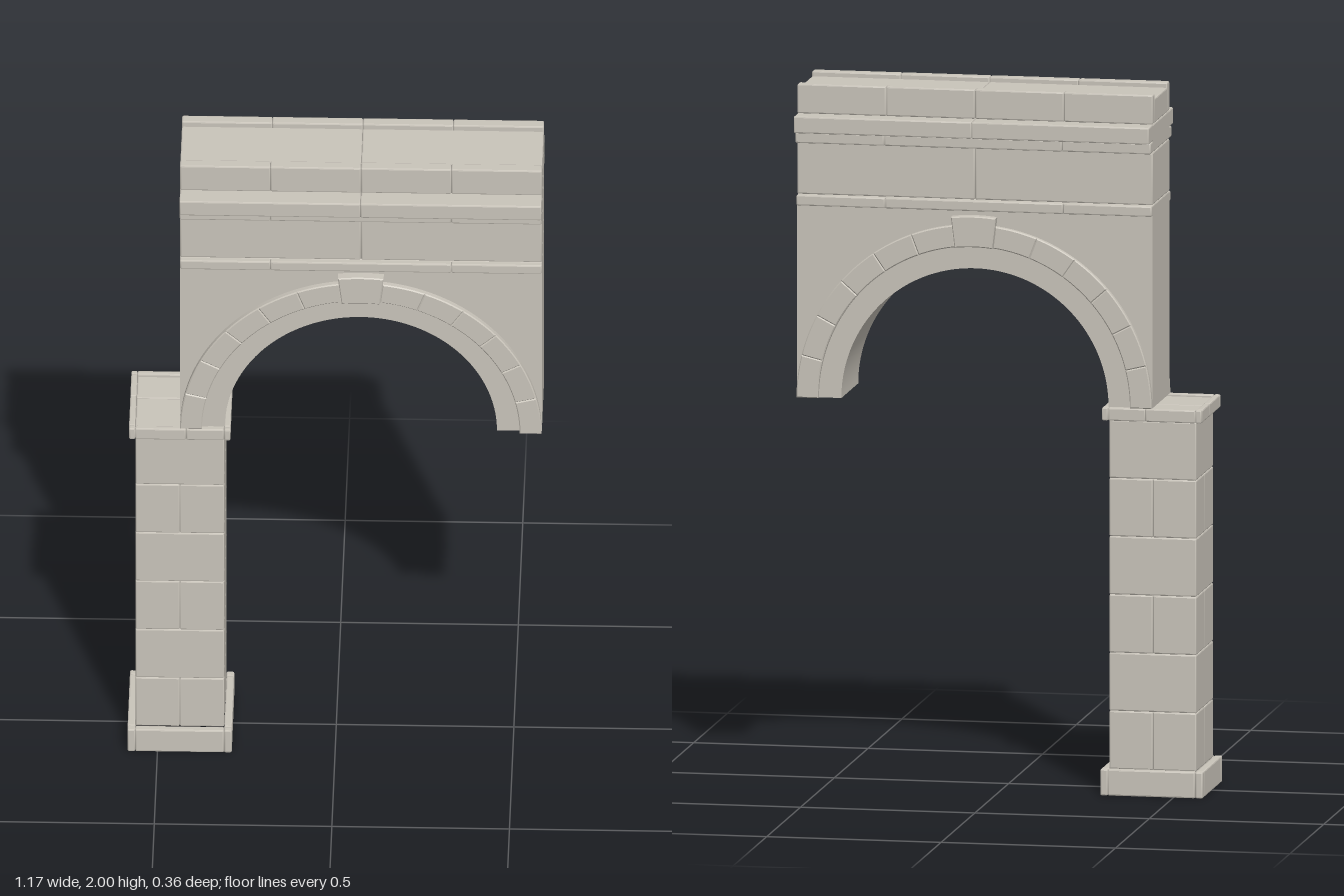
import * as THREE from 'three';
import { RoundedBoxGeometry } from 'three/addons/geometries/RoundedBoxGeometry.js';
import { toCreasedNormals } from 'three/addons/utils/BufferGeometryUtils.js';

const stone = new THREE.MeshStandardMaterial({ color: 0xc9c4ba });
stone.name = 'stone';

const CHAMFER = 0.004;
const PIER_X = -0.4375, HALF = 0.125;          // pier centre and half width
const ARCH_X = 0.0725, ARCH_Y = 1.107;         // arch centre
const WALL_L = -0.437, WALL_R = 0.582;         // wall ends

function addMesh(parent, name, geometry) {
  const mesh = new THREE.Mesh(geometry, stone);
  mesh.name = name;
  parent.add(mesh);
  return mesh;
}

// Chamfered stone block given by its limits
function block(parent, name, x0, x1, y0, y1, z0, z1) {
  const geo = toCreasedNormals(new RoundedBoxGeometry(x1 - x0, y1 - y0, z1 - z0, 1, CHAMFER), 0.3);
  addMesh(parent, name, geo).position.set((x0 + x1) / 2, (y0 + y1) / 2, (z0 + z1) / 2);
}

// Row of blocks along x, split at the given fractions of the wall length
function wallRow(parent, name, cuts, y0, y1, z0, z1) {
  const at = [0, ...cuts, 1].map(f => WALL_L + f * (WALL_R - WALL_L));
  for (let i = 0; i < at.length - 1; i++) block(parent, name, at[i], at[i + 1], y0, y1, z0, z1);
}

// Square band around the pier: side strips, optionally split, and corner posts
function band(parent, name, out, y0, y1, split) {
  const cuts = split === null ? [-HALF, HALF] : [-HALF, split, HALF];
  for (const s of [-1, 1]) {
    const lo = s > 0 ? HALF : -out, hi = s > 0 ? out : -HALF;
    for (let i = 0; i < cuts.length - 1; i++) {
      const a = cuts[i], b = cuts[i + 1];
      block(parent, name, PIER_X + a, PIER_X + b, y0, y1, lo, hi);
      block(parent, name, PIER_X + lo, PIER_X + hi, y0, y1, -b, -a);
    }
    for (const t of [-1, 1]) {
      const za = t > 0 ? HALF : -out, zb = t > 0 ? out : -HALF;
      block(parent, name + 'Corner', PIER_X + lo, PIER_X + hi, y0, y1, za, zb);
    }
  }
}

function createPier() {
  const pier = new THREE.Group();
  pier.name = 'pier';
  band(pier, 'pierBase', 0.147, 0, 0.075, null);

  // Six courses, alternating four blocks and one full block
  const y0 = 0.073, h = (1.07 - y0) / 6;
  for (let i = 0; i < 6; i++) {
    const cuts = i % 2 ? [-HALF, HALF] : [-HALF, 0, HALF];
    for (let a = 0; a < cuts.length - 1; a++)
      for (let b = 0; b < cuts.length - 1; b++)
        block(pier, 'pierBlock', PIER_X + cuts[a], PIER_X + cuts[a + 1],
          y0 + i * h, y0 + (i + 1) * h, cuts[b], cuts[b + 1]);
  }

  // Capital: rim with a slightly sunken top slab in quarters
  band(pier, 'capitalRim', 0.143, 1.07, 1.107, 0.018);
  const xs = [-HALF, 0.018, HALF], zs = [-HALF, -0.018, HALF];
  for (let a = 0; a < 2; a++)
    for (let b = 0; b < 2; b++)
      block(pier, 'capitalSlab', PIER_X + xs[a], PIER_X + xs[a + 1], 1.07, 1.1, zs[b], zs[b + 1]);
  return pier;
}

// Wedge of a ring between two radii and two angles, chamfered at the face
function wedge(r0, r1, a0, a1, depth) {
  const b = 0.003;
  const shape = new THREE.Shape();
  shape.absarc(0, 0, r1 - b, a0 + b / r1, a1 - b / r1, false);
  shape.absarc(0, 0, r0 + b, a1 - b / r0, a0 + b / r0, true);
  const geo = new THREE.ExtrudeGeometry(shape, {
    depth: depth - 2 * b, bevelThickness: b, bevelSize: b, bevelSegments: 1, curveSegments: 5,
  });
  geo.translate(0, 0, b);
  return toCreasedNormals(geo, 0.4);
}

function createArch() {
  const arch = new THREE.Group();
  arch.name = 'arch';

  // Wall pierced by the half-round opening
  const top = 1.657, r = 0.383;
  const shape = new THREE.Shape();
  shape.moveTo(WALL_L, ARCH_Y);
  shape.lineTo(ARCH_X - r, ARCH_Y);
  shape.absarc(ARCH_X, ARCH_Y, r, Math.PI, 0, true);
  shape.lineTo(WALL_R, ARCH_Y);
  shape.lineTo(WALL_R, top);
  shape.lineTo(WALL_L, top);
  const wall = new THREE.ExtrudeGeometry(shape, { depth: 2 * HALF, bevelEnabled: false, curveSegments: 48 });
  wall.translate(0, 0, -HALF);
  addMesh(arch, 'archWall', toCreasedNormals(wall, 0.4));

  // Thirteen voussoirs on each face, the middle one a taller keystone
  const count = 13, step = Math.PI / count;
  for (const side of [0, Math.PI]) {
    const ring = new THREE.Group();
    ring.name = side ? 'backVoussoirs' : 'frontVoussoirs';
    ring.position.set(ARCH_X, ARCH_Y, 0);
    ring.rotation.y = side;
    for (let i = 0; i < count; i++) {
      const key = i === (count - 1) / 2;
      const geo = wedge(0.447, key ? 0.535 : 0.509, i * step, (i + 1) * step, key ? 0.04 : 0.03);
      addMesh(ring, key ? 'keystone' : 'voussoir', geo).position.z = 0.112;
    }
    arch.add(ring);
  }
  return arch;
}

function createEntablature() {
  const group = new THREE.Group();
  group.name = 'entablature';
  const quarters = [0.25, 0.5, 0.75], outer = [0.25, 0.75], half = [0.5];

  // Frieze, cornice core and parapet slab
  wallRow(group, 'wallCap', [], 1.65, 1.686, -HALF, HALF);
  wallRow(group, 'frieze', half, 1.686, 1.836, -HALF, HALF);
  wallRow(group, 'corniceCore', half, 1.836, 1.916, -HALF, HALF);
  wallRow(group, 'parapetSlab', half, 1.916, 1.986, -0.092, 0.092);

  // Mouldings on both faces
  const strips = [
    ['stringCourse', outer, 1.655, 1.685, 0.11, 0.14],
    ['lowerCornice', outer, 1.836, 1.868, 0.11, 0.155],
    ['upperCornice', half, 1.868, 1.916, 0.11, 0.18],
    ['parapetRail', quarters, 1.916, 2.0, 0.092, HALF],
  ];
  for (const [name, cuts, y0, y1, z0, z1] of strips) {
    wallRow(group, name, cuts, y0, y1, z0, z1);
    wallRow(group, name, cuts, y0, y1, -z1, -z0);
  }
  return group;
}

export function createModel() {
  const model = new THREE.Group();
  model.name = 'stoneArch';
  model.add(createPier(), createArch(), createEntablature());
  return model;
}
